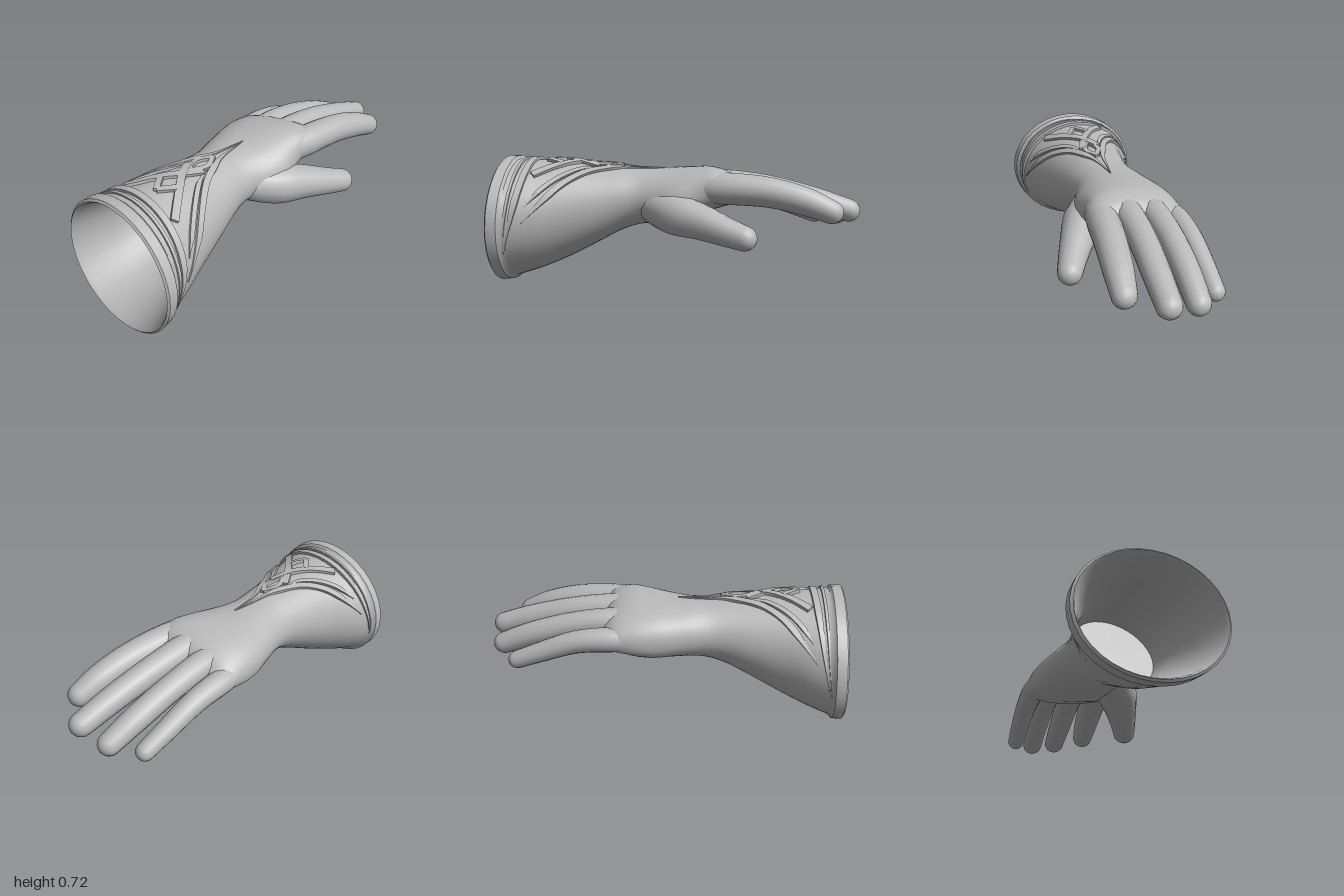
import * as THREE from 'three';
import { toCreasedNormals } from 'three/addons/utils/BufferGeometryUtils.js';

const V = (x, y, z) => new THREE.Vector3(x, y, z);
const clamp = THREE.MathUtils.clamp;
const bump = (v, centre, width) => Math.exp(-(((v - centre) / width) ** 2));

// Skin a list of point rings, closing both ends with fans.
function loft(rings, crease = 0.7) {
  const n = rings[0].length, pos = [], idx = [];
  rings.flat().forEach(p => pos.push(p.x, p.y, p.z));
  for (let i = 0; i < rings.length - 1; i++) {
    for (let j = 0; j < n; j++) {
      const k = (j + 1) % n, a = i * n, b = a + n;
      idx.push(a + j, a + k, b + k, a + j, b + k, b + j);
    }
  }
  [0, rings.length - 1].forEach((r, end) => {
    const c = rings[r].reduce((s, p) => s.add(p), V(0, 0, 0)).divideScalar(n);
    const ci = pos.length / 3;
    pos.push(c.x, c.y, c.z);
    for (let j = 0; j < n; j++) {
      const p = r * n + j, q = r * n + (j + 1) % n;
      if (end) idx.push(ci, p, q); else idx.push(ci, q, p);
    }
  });
  const g = new THREE.BufferGeometry();
  g.setAttribute('position', new THREE.Float32BufferAttribute(pos, 3));
  g.setIndex(idx);
  return toCreasedNormals(g, crease);
}

// Hand and gauntlet cross-sections: z, centre x, centre y, radius x, radius y.
const SECTIONS = [
  [-0.36, -0.01, 0.535, 0.215, 0.035],
  [-0.33, -0.01, 0.535, 0.245, 0.074],
  [-0.22, -0.018, 0.536, 0.26, 0.12],
  [-0.10, -0.025, 0.518, 0.25, 0.14],
  [0.05, -0.028, 0.503, 0.222, 0.148],
  [0.20, -0.035, 0.493, 0.193, 0.161],
  [0.30, -0.038, 0.480, 0.200, 0.183],
  [0.40, -0.045, 0.457, 0.220, 0.213],
  [0.60, -0.060, 0.412, 0.270, 0.277],
  [0.75, -0.075, 0.380, 0.322, 0.312],
  [0.88, -0.088, 0.362, 0.362, 0.340],
];
const sectionCurve = new THREE.CubicInterpolant(
  SECTIONS.map(s => s[0]), SECTIONS.flatMap(s => s.slice(1)), 4, new Float32Array(4));
const sectionAt = z => [z, ...sectionCurve.evaluate(z)];

// Point on a section; angle 0 is the back of the hand, growing toward the thumb.
function sectionPoint([z, cx, cy, rx, ry], angle) {
  const e = 1 - 0.2 * clamp((0.2 - z) / 0.3, 0, 1); // squarer palm
  const s = Math.sin(angle), c = Math.cos(angle);
  const ball = 0.05 * bump(z, 0.01, 0.12) * bump(angle, 2, 0.65); // ball of the thumb
  const dx = rx * Math.sign(s) * Math.abs(s) ** e + ball * s;
  const dy = ry * Math.sign(c) * Math.abs(c) ** e + ball * c;
  const slant = clamp((z - 0.45) / 0.4, 0, 1);      // slanted cuff opening
  const roll = 0.15 * clamp((0.1 - z) / 0.3, 0, 1); // index side held higher
  return V(cx + dx + 0.06 * slant * dy, cy + dy + roll * dx,
    z + slant * (0.13 * dx - 0.05 * dy));
}
const ring = (s, n = 36) =>
  Array.from({ length: n }, (_, j) => sectionPoint(s, j / n * Math.PI * 2));

// Lining, rolled rim, flared gauntlet and palm in one skin.
function gauntletGeometry() {
  const list = [
    [0.6, -0.06, 0.408, 0.248, 0.243],
    [0.74, -0.073, 0.38, 0.290, 0.277],
    [0.93, -0.09, 0.357, 0.356, 0.332],
    [0.947, -0.09, 0.358, 0.368, 0.346],
    [0.938, -0.09, 0.358, 0.380, 0.358],
    [0.885, -0.09, 0.360, 0.378, 0.355],
    [0.872, -0.089, 0.362, 0.361, 0.340],
  ];
  for (let z = 0.85; z > -0.355; z -= 0.03) list.push(sectionAt(z));
  list.push(sectionAt(-0.36));
  // The lining ends in a disc that leans back at the top.
  const floor = ring([0.46, -0.054, 0.403, 0.22, 0.215]);
  floor.forEach(p => { p.z -= 0.34 * (p.y - 0.403); });
  return loft([floor, ...list.map(s => ring(s))]);
}

// Round-tipped limb through points [x, y, z, radius].
function limbGeometry(points) {
  const path = new THREE.CatmullRomCurve3(points.map(p => V(p[0], p[1], p[2])));
  const radius = new THREE.CatmullRomCurve3(points.map((p, i) => V(i, p[3], 0)));
  const rings = [], steps = 18, sides = 16;
  const add = (c, t, r) => {
    const x = t.clone().cross(V(0, 1, 0)).normalize(), y = x.clone().cross(t);
    rings.push(Array.from({ length: sides }, (_, j) => {
      const a = j / sides * Math.PI * 2;
      return c.clone().addScaledVector(x, r * Math.sin(a)).addScaledVector(y, r * Math.cos(a));
    }));
  };
  for (let i = 0; i <= steps; i++) {
    const t = i / steps;
    add(path.getPoint(t), path.getTangent(t), radius.getPoint(t).y);
  }
  const end = path.getPoint(1), dir = path.getTangent(1), r = points.at(-1)[3];
  for (let i = 1; i <= 5; i++) {
    const a = i / 5 * 1.45;
    add(end.clone().addScaledVector(dir, r * Math.sin(a)), dir, r * Math.cos(a));
  }
  return loft(rings, 1);
}

// Raised strap lying on the cuff through points [angle from the middle, z].
const MIDDLE = 0.1;
function strapGeometry({ points, width, lift, taper }, side) {
  const path = new THREE.CatmullRomCurve3(points.map(p => V(p[0] * side + MIDDLE, p[1], 0)));
  const steps = points.length * 6, rings = [];
  const at = t => {
    const p = path.getPoint(t);
    return sectionPoint(sectionAt(p.y), p.x);
  };
  for (let i = 0; i <= steps; i++) {
    const t = i / steps, p = at(t), uv = path.getPoint(t);
    const dir = at(Math.min(1, t + 0.01)).sub(at(Math.max(0, t - 0.01))).normalize();
    const s = sectionAt(uv.y);
    const n = V((p.x - s[1]) / s[3] ** 2, (p.y - s[2]) / s[4] ** 2, 0).normalize();
    n.addScaledVector(dir, -n.dot(dir)).normalize();
    const across = dir.clone().cross(n);
    const thin = taper ? clamp(t * 3, 0.1, 1) * clamp((1 - t) * 5, 0.15, 1) : 1;
    const w = width / 2 * thin, h = lift * Math.max(thin, 0.4);
    rings.push([[-w, h], [w, h], [w, -0.012], [-w, -0.012]].map(([u, v]) =>
      p.clone().addScaledVector(across, u).addScaledVector(n, v)));
  }
  return loft(rings, 0.6);
}

const LIMBS = {
  littleFinger: [[-0.2, 0.495, -0.14, 0.055], [-0.212, 0.502, -0.3, 0.066], [-0.197, 0.483, -0.5, 0.061],
    [-0.177, 0.42, -0.68, 0.055], [-0.157, 0.362, -0.825, 0.049]],
  ringFinger: [[-0.085, 0.535, -0.12, 0.065], [-0.088, 0.55, -0.28, 0.075], [-0.072, 0.53, -0.5, 0.069],
    [-0.04, 0.46, -0.75, 0.067], [-0.012, 0.392, -0.917, 0.06]],
  middleFinger: [[0.03, 0.56, -0.1, 0.07], [0.05, 0.57, -0.25, 0.079], [0.08, 0.55, -0.5, 0.073],
    [0.122, 0.493, -0.75, 0.069], [0.153, 0.437, -0.94, 0.062]],
  indexFinger: [[0.13, 0.56, -0.08, 0.075], [0.182, 0.562, -0.25, 0.086], [0.24, 0.548, -0.5, 0.081],
    [0.283, 0.503, -0.69, 0.074], [0.31, 0.455, -0.81, 0.062]],
  thumb: [[0.03, 0.47, 0.2, 0.06], [0.105, 0.45, 0.1, 0.098], [0.19, 0.425, -0.01, 0.113],
    [0.275, 0.397, -0.14, 0.094], [0.348, 0.362, -0.26, 0.077], [0.398, 0.337, -0.35, 0.066]],
};

// Cuff trim on one side of the middle line; mirrored to the other.
const STRAPS = [
  { name: 'outerBorder', width: 0.034, taper: true, lift: 0.014,
    points: [[0, 0.05], [0.12, 0.24], [0.27, 0.34], [0.45, 0.45], [0.78, 0.58], [1.1, 0.68], [1.48, 0.79]] },
  { name: 'innerBorder', width: 0.026, taper: true, lift: 0.012,
    points: [[0.2, 0.36], [0.34, 0.47], [0.58, 0.58], [0.88, 0.69], [1.15, 0.76]] },
  { name: 'upperDiamond', width: 0.026, lift: 0.015,
    points: [[0, 0.28], [0.16, 0.37], [0, 0.47]] },
  { name: 'crossStrap', width: 0.04, lift: 0.015,
    points: [[-0.2, 0.41], [0, 0.51], [0.22, 0.6], [0.56, 0.75]] },
  { name: 'lowerDiamond', width: 0.03, lift: 0.016,
    points: [[0, 0.7], [0.2, 0.61]] },
];
const BANDS = [
  { name: 'cuffBand', width: 0.035, lift: 0.014, z: 0.785, reach: 1.85, sweep: 0.07 },
  { name: 'cuffPiping', width: 0.016, lift: 0.01, z: 0.835, reach: 1.95, sweep: 0.03 },
];

export function createModel() {
  const model = new THREE.Group();
  model.name = 'glove';
  const leather = new THREE.MeshStandardMaterial({ color: 0xb9b9b9 });
  leather.name = 'greyLeather';
  const add = (name, geometry, parent = model) => {
    const mesh = new THREE.Mesh(geometry, leather);
    mesh.name = name;
    parent.add(mesh);
  };

  add('gauntletAndPalm', gauntletGeometry());
  for (const [name, points] of Object.entries(LIMBS)) add(name, limbGeometry(points));

  const trim = new THREE.Group();
  trim.name = 'cuffTrim';
  model.add(trim);
  for (const s of STRAPS) {
    add(s.name + 'Left', strapGeometry(s, 1), trim);
    add(s.name + 'Right', strapGeometry(s, -1), trim);
  }
  // Bands wrap over the back of the cuff and sweep toward the rim at their ends.
  for (const b of BANDS) {
    const points = Array.from({ length: 9 }, (_, i) => {
      const k = i / 4 - 1;
      return [k * b.reach, b.z + b.sweep * k * k];
    });
    add(b.name, strapGeometry({ ...b, points, taper: true }, 1), trim);
  }
  return model;
}
